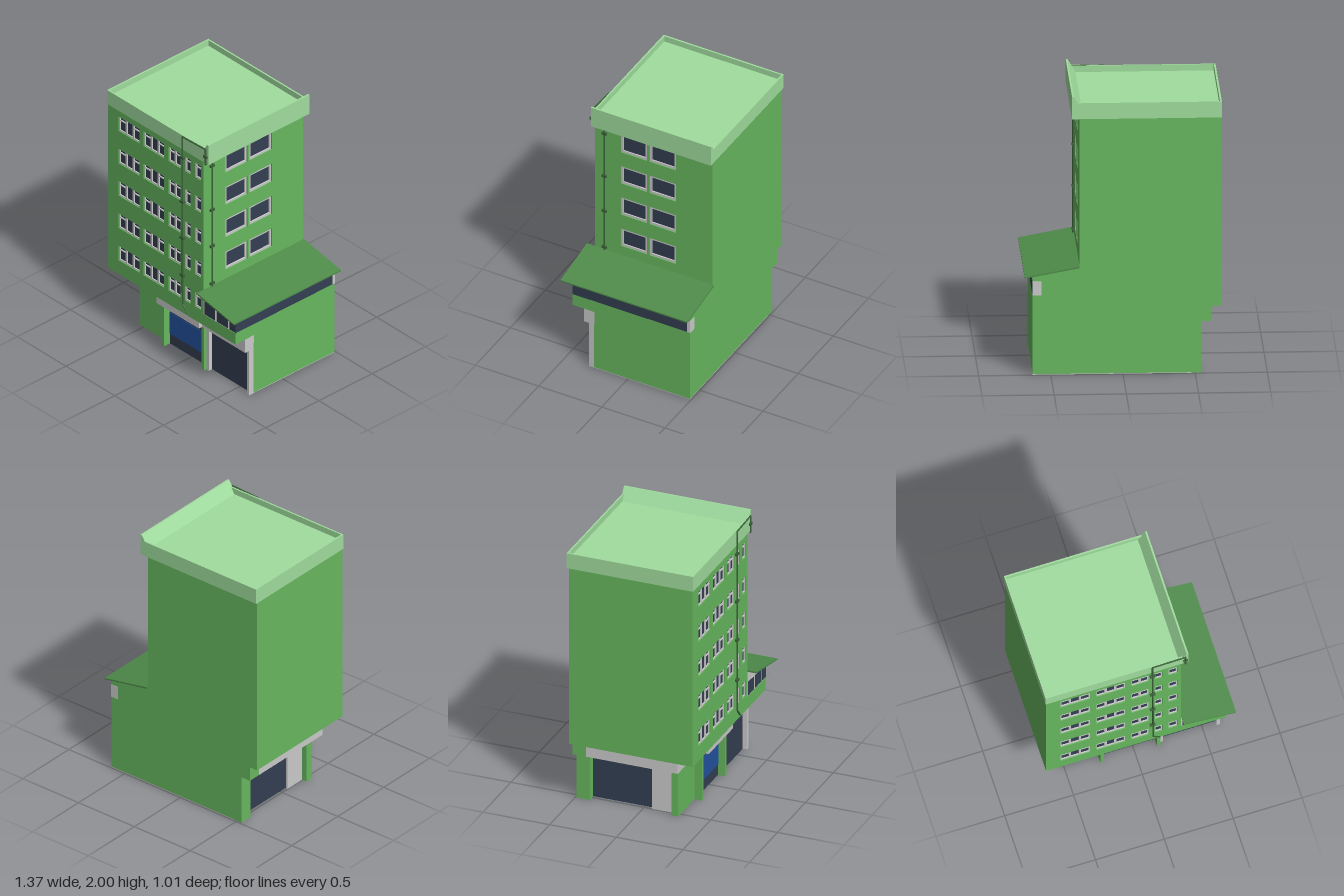
import * as THREE from 'three';

const mat = (color) => new THREE.MeshStandardMaterial({ color, flatShading: true });
const M = {
  wall: mat(0x67b85f), trim: mat(0xa0dd9e), roof: mat(0x4f8c4a), pipe: mat(0x3a6238),
  grey: mat(0xcccccc), glass: mat(0x333f52), blue: mat(0x2253a0),
};

function add(parent, name, geometry, material) {
  const mesh = new THREE.Mesh(geometry, material);
  mesh.name = name;
  parent.add(mesh);
  return mesh;
}

// Box given by its limits on each axis
function box(parent, name, material, x0, x1, y0, y1, z0, z1) {
  const mesh = add(parent, name, new THREE.BoxGeometry(x1 - x0, y1 - y0, z1 - z0), material);
  mesh.position.set((x0 + x1) / 2, (y0 + y1) / 2, (z0 + z1) / 2);
  return mesh;
}

const polygon = (pts) => new THREE.Shape(pts.map(([x, y]) => new THREE.Vector2(x, y)));
const rect = (x0, x1, y0, y1) => polygon([[x0, y0], [x1, y0], [x1, y1], [x0, y1]]);

// Outline with optional holes, extruded from z0 to z1
function slab(parent, name, material, shape, z0, z1, holes = []) {
  shape.holes.push(...holes);
  const geometry = new THREE.ExtrudeGeometry(shape, { depth: z1 - z0, bevelEnabled: false });
  geometry.translate(0, 0, z0);
  return add(parent, name, geometry, material);
}

// Framed window; each sash is [x0, x1, hasTransom]
function addWindow(parent, [x0, x1, y0, y1], edge, sashes) {
  const holes = [];
  for (const [a, b, transom] of sashes) {
    const split = y1 - (y1 - y0) * 0.27;
    holes.push(rect(a + edge, b - edge, y0 + edge, transom ? split - edge / 2 : y1 - edge));
    if (transom) holes.push(rect(a + edge, b - edge, split + edge / 2, y1 - edge));
  }
  slab(parent, 'windowFrame', M.grey, rect(x0, x1, y0, y1), 0, 0.013, holes);
  box(parent, 'windowPane', M.glass, x0 + 0.002, x1 - 0.002, y0 + 0.002, y1 - 0.002, 0, 0.004);
}

function buildTower(g) {
  box(g, 'towerCore', M.wall, -0.68, 0.28, 0.48, 1.84, -0.49, 0.42);

  // Front wall with five rows of recessed windows
  const front = new THREE.Group();
  front.name = 'frontWall';
  front.position.z = 0.42;
  g.add(front);
  const groups = [[-0.575, -0.36, 3], [-0.315, -0.105, 3], [-0.06, 0.065, 2], [0.11, 0.165, 1], [0.21, 0.275, 1]];
  const frontHoles = [];
  for (let row = 0; row < 5; row++) {
    const y0 = 0.595 + row * 0.2685, y1 = y0 + 0.12;
    for (const [x0, x1, n] of groups) {
      const w = (x1 - x0) / n;
      const sashes = Array.from({ length: n }, (_, i) => [x0 + i * w, x0 + (i + 1) * w, n < 3 || i !== 1]);
      frontHoles.push(rect(x0, x1, y0, y1));
      addWindow(front, [x0, x1, y0, y1], 0.008, sashes);
    }
  }
  slab(front, 'frontWallSkin', M.wall, rect(-0.68, 0.3, 0.48, 1.84), 0, 0.02, frontHoles);

  // Side wall with four rows of larger windows
  const side = new THREE.Group();
  side.name = 'sideWall';
  side.rotation.y = Math.PI / 2;
  side.position.x = 0.28;
  g.add(side);
  const sideHoles = [];
  for (let row = 0; row < 4; row++) {
    const y0 = 0.85 + row * 0.2685, y1 = y0 + 0.15;
    for (const [a, b] of [[-0.235, -0.03], [-0.01, 0.2]]) {
      sideHoles.push(rect(a, b, y0, y1));
      addWindow(side, [a, b, y0, y1], 0.016, [[a, b, false]]);
    }
  }
  slab(side, 'sideWallSkin', M.wall, rect(-0.42, 0.49, 0.48, 1.84), 0, 0.02, sideHoles);
}

function buildRoof(g) {
  const z0 = -0.505, z1 = 0.445;
  box(g, 'roofDeck', M.trim, -0.672, 0.29, 1.84, 1.91, z0 + 0.01, z1 - 0.01);
  box(g, 'leftParapet', M.trim, -0.685, -0.672, 1.84, 1.955, z0, z1);
  box(g, 'frontParapet', M.trim, -0.672, 0.32, 1.84, 1.955, z1 - 0.012, z1);
  box(g, 'backParapet', M.trim, -0.672, 0.32, 1.84, 1.955, z0, z0 + 0.012);
  // Overhanging parapet that slopes up from the deck
  slab(g, 'raisedParapet', M.trim,
    polygon([[0.285, 1.84], [0.353, 1.84], [0.353, 2], [0.34, 2], [0.285, 1.91]]), z0, z1);
}

function buildWing(g) {
  box(g, 'wingFloorBand', M.wall, 0.28, 0.625, 0.48, 0.572, -0.49, 0.44);
  const gable = (x) => polygon([[0.3, 0.57], [x, 0.57], [x, 0.705], [0.3, 0.77]]);
  slab(g, 'wingUpperWalls', M.grey, gable(0.622), -0.47, 0.437);
  slab(g, 'wingBackWall', M.wall, gable(0.625), -0.49, -0.47);
  box(g, 'wingBackCorner', M.grey, 0.565, 0.627, 0.572, 0.67, -0.493, -0.47);
  slab(g, 'wingRoof', M.roof, polygon([[0.3, 0.765], [0.68, 0.695], [0.68, 0.705], [0.3, 0.777]]), -0.5, 0.505);
  // Front panes with gently sloping heads
  for (const [a, b] of [[0.31, 0.415], [0.44, 0.548], [0.565, 0.625]]) {
    const head = (x) => 0.683 - (x - 0.31) * 0.06;
    const pane = (d) => polygon([[a - d, 0.578 - d], [b + d, 0.578 - d], [b + d, head(b) + d], [a - d, head(a) + d]]);
    if (b < 0.6) slab(g, 'wingPaneFrame', M.grey, pane(0.007), 0.43, 0.439);
    slab(g, 'wingFrontPane', M.glass, pane(0), 0.43, 0.441);
  }
  // Ribbon window along the side
  const ribbon = slab(g, 'ribbonWindow', M.glass,
    polygon([[-0.44, 0.573], [0.485, 0.573], [0.485, 0.645], [-0.44, 0.668]]), 0, 0.006);
  ribbon.rotation.y = Math.PI / 2;
  ribbon.position.x = 0.62;
}

function buildGroundFloor(g) {
  box(g, 'base', M.grey, -0.48, 0.625, 0, 0.004, -0.49, 0.27);
  box(g, 'groundBody', M.wall, -0.48, 0.625, 0.004, 0.48, -0.49, 0.27);
  box(g, 'backLeftPier', M.wall, -0.54, -0.48, 0, 0.37, -0.49, -0.39);
  box(g, 'backLeftHeader', M.wall, -0.615, -0.48, 0.37, 0.48, -0.49, -0.39);
  box(g, 'sideShopWindow', M.glass, -0.485, -0.475, 0.004, 0.37, -0.39, 0.06);
  box(g, 'sidePier', M.grey, -0.5, -0.475, 0, 0.37, 0.06, 0.22);
  box(g, 'frontLeftPanel', M.wall, -0.54, -0.25, 0, 0.37, 0.22, 0.272);

  // Stepped beam above the ground floor
  box(g, 'leftBeam', M.grey, -0.615, -0.25, 0.37, 0.48, -0.39, 0.3);
  box(g, 'middleBeam', M.grey, -0.25, 0.185, 0.37, 0.48, 0.26, 0.38);
  box(g, 'rightBeam', M.grey, 0.185, 0.625, 0.37, 0.48, 0.265, 0.35);

  // Door surrounds with an open bottom
  const surround = (name, m, x0, x1, t, z) => slab(g, name, m,
    polygon([[x0, 0], [x0 + t, 0], [x0 + t, 0.345], [x1 - t, 0.345], [x1 - t, 0], [x1, 0], [x1, 0.37], [x0, 0.37]]), 0.268, z);
  surround('shopSurround', M.wall, -0.25, 0.185, 0.025, 0.33);
  surround('garageSurround', M.grey, 0.185, 0.625, 0.025, 0.31);
  box(g, 'shopFront', M.glass, -0.225, 0.16, 0, 0.345, 0.26, 0.276);
  box(g, 'shopShutter', M.blue, -0.225, 0.16, 0.085, 0.26, 0.27, 0.28);
  box(g, 'garageDoor', M.glass, 0.21, 0.459, 0, 0.345, 0.26, 0.278);
  box(g, 'garageSideDoor', M.glass, 0.461, 0.6, 0, 0.345, 0.26, 0.278);
}

function buildPipes(g) {
  // Straight-run drainpipe from the front, round the corner and down the side
  const path = new THREE.CurvePath();
  const pts = [[0.145, 0.505, 0.45], [0.095, 0.56, 0.45], [0.09, 1.95, 0.45], [0.33, 1.96, 0.45],
    [0.33, 1.835, 0.45], [0.33, 1.835, 0.365], [0.306, 1.825, 0.365], [0.306, 0.775, 0.365]]
    .map((p) => new THREE.Vector3(...p));
  for (let i = 1; i < pts.length; i++) {
    path.add(new THREE.LineCurve3(pts[i - 1], pts[i]));
    add(g, 'pipeJoint', new THREE.SphereGeometry(0.006, 6, 4), M.pipe).position.copy(pts[i]);
  }
  for (const run of path.curves) add(g, 'drainpipe', new THREE.TubeGeometry(run, 1, 0.006, 6), M.pipe);
  for (const y of [0.8, 1.11, 1.41, 1.775]) {
    box(g, 'frontPipeBracket', M.pipe, 0.072, 0.11, y - 0.009, y + 0.009, 0.438, 0.458);
    box(g, 'sidePipeBracket', M.pipe, 0.295, 0.314, y - 0.009, y + 0.009, 0.346, 0.384);
  }
  box(g, 'cornerPipeBracket', M.pipe, 0.313, 0.347, 1.89, 1.908, 0.44, 0.458);
}

export function createModel() {
  const model = new THREE.Group();
  model.name = 'building';
  const parts = { tower: buildTower, roof: buildRoof, wing: buildWing, groundFloor: buildGroundFloor, pipes: buildPipes };
  for (const [name, build] of Object.entries(parts)) {
    const group = new THREE.Group();
    group.name = name;
    build(group);
    model.add(group);
  }
  return model;
}
